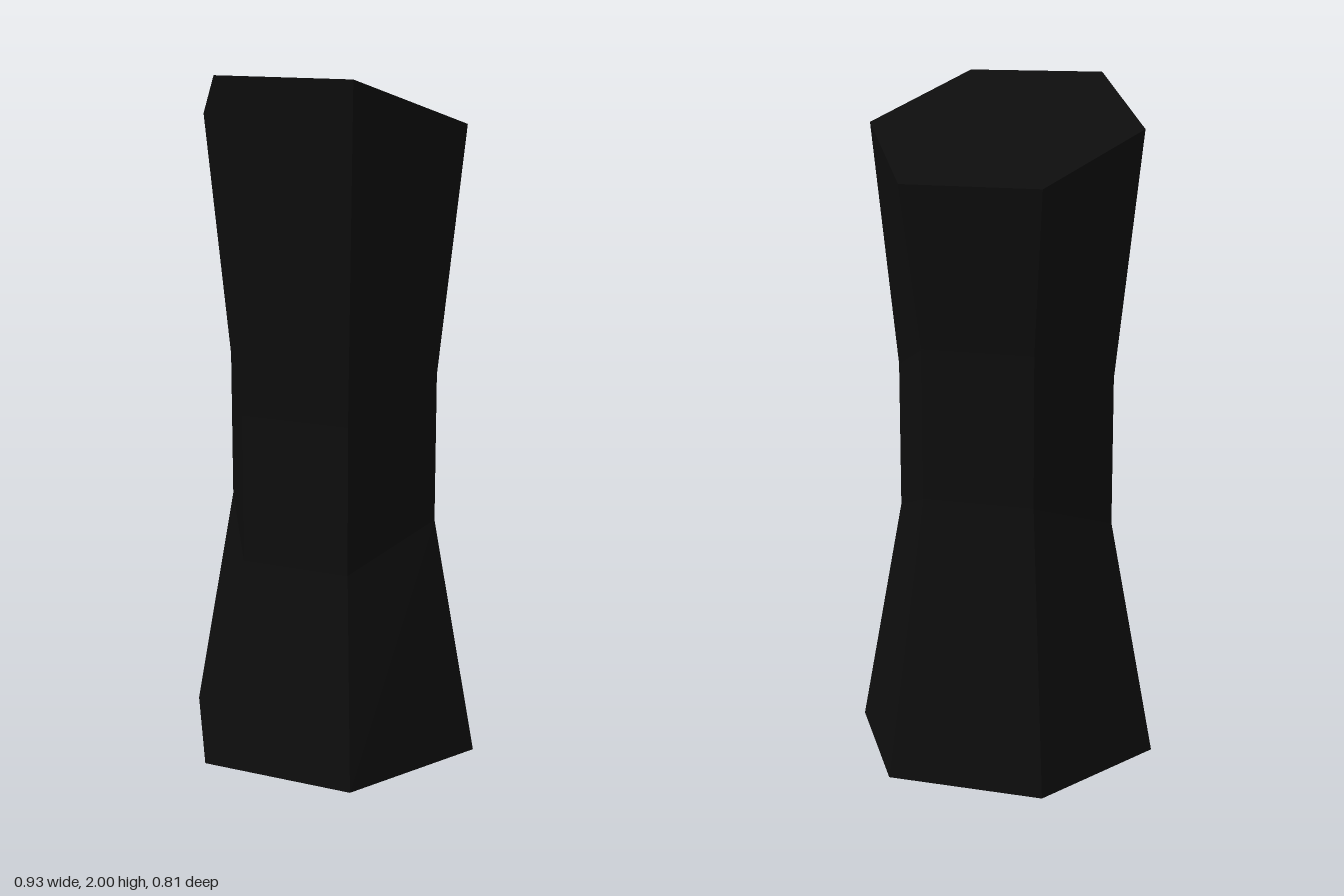
import * as THREE from 'three';

// Cross-sections from bottom to top: centre height, radius, tilt about x
const TILT = Math.PI / 8;
const RINGS = [
  { y: 0, radius: 0.465, tilt: 0 },
  { y: 0.71, radius: 0.33, tilt: TILT },
  { y: 1.15, radius: 0.33, tilt: TILT },
  { y: 1.865, radius: 0.408, tilt: -TILT },
];

export function createModel() {
  const group = new THREE.Group();
  group.name = 'hexagonalPillar';

  const darkStone = new THREE.MeshStandardMaterial({ color: 0x0d0d0d });
  darkStone.name = 'nearBlack';

  // Unit hexagonal prism whose rows are scaled, tilted and raised ring by ring
  const prism = new THREE.CylinderGeometry(1, 1, 3, 6, 3, false, Math.PI / 6);
  const pos = prism.attributes.position;
  for (let i = 0; i < pos.count; i++) {
    const { y, radius, tilt } = RINGS[Math.round(pos.getY(i) + 1.5)];
    const x = pos.getX(i) * radius;
    const z = pos.getZ(i) * radius;
    pos.setXYZ(i, x, y - z * Math.sin(tilt), z * Math.cos(tilt));
  }

  // Separate the faces so every facet is flat
  const geometry = prism.toNonIndexed();
  geometry.clearGroups();
  geometry.computeVertexNormals();

  const pillar = new THREE.Mesh(geometry, darkStone);
  pillar.name = 'pillar';
  group.add(pillar);
  return group;
}
